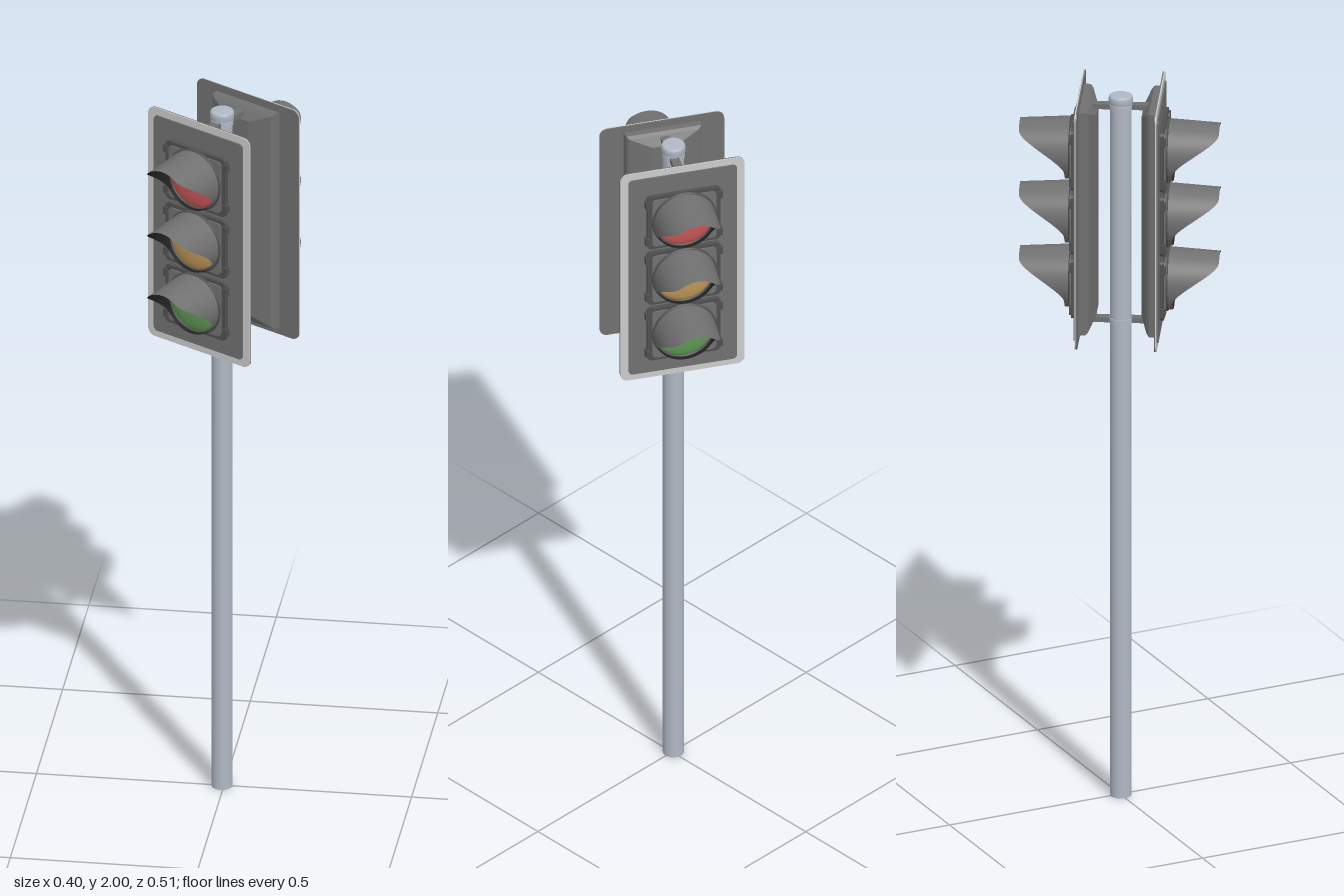
import * as THREE from 'three';
import { ParametricGeometry } from 'three/addons/geometries/ParametricGeometry.js';

const mat = (color, extra = {}) => new THREE.MeshStandardMaterial({ color, ...extra });
const poleMat = mat(0xb0b8c4);
const rimMat = mat(0xcccccc);
const bodyMat = mat(0x707070);
const housingMat = mat(0x707070, { flatShading: true });
const darkMat = mat(0x505050);
const hoodInnerMat = mat(0x222222, { side: THREE.BackSide });
const lampColors = [0xcc5a5a, 0xc49a5a, 0x629c58];

function add(parent, name, geometry, material, x = 0, y = 0, z = 0) {
  const mesh = new THREE.Mesh(geometry, material);
  mesh.name = name;
  mesh.position.set(x, y, z);
  parent.add(mesh);
  return mesh;
}

function roundedRect(w, h, r) {
  const s = new THREE.Shape();
  const x = w / 2, y = h / 2;
  s.absarc(x - r, y - r, r, 0, Math.PI / 2);
  s.absarc(-x + r, y - r, r, Math.PI / 2, Math.PI);
  s.absarc(-x + r, -y + r, r, Math.PI, Math.PI * 1.5);
  s.absarc(x - r, -y + r, r, Math.PI * 1.5, Math.PI * 2);
  s.closePath();
  return s;
}

// Rounded rectangular plate, from z = 0 to z = depth
const plate = (w, h, r, depth) =>
  new THREE.ExtrudeGeometry(roundedRect(w, h, r), { depth, bevelEnabled: false, curveSegments: 6 });

// Faceted solid through rectangles [halfWidth, halfHeight, z], back to front
function loftRects(sections) {
  const pos = [], index = [];
  for (const [w, h, z] of sections) pos.push(-w, -h, z, w, -h, z, w, h, z, -w, h, z);
  for (let s = 0; s < sections.length - 1; s++) {
    for (let i = 0; i < 4; i++) {
      const a = s * 4 + i, b = s * 4 + (i + 1) % 4;
      index.push(a, b, b + 4, a, b + 4, a + 4);
    }
  }
  index.push(0, 2, 1, 0, 3, 2);
  const g = new THREE.BufferGeometry();
  g.setAttribute('position', new THREE.Float32BufferAttribute(pos, 3));
  g.setIndex(index);
  g.computeVertexNormals();
  return g;
}

// Tapered tube, long over the top and swept back to a short lip below
function hoodGeometry(wall) {
  return new ParametricGeometry((u, v, target) => {
    const a = Math.PI - 2 * Math.PI * u;
    const reach = 0.018 + 0.122 * (1 - THREE.MathUtils.smoothstep(Math.abs(a), 0.6, 2.2));
    const z = reach * v;
    const r = 0.084 - 0.06 * z - wall * (1 - v);
    target.set(r * Math.sin(a), r * Math.cos(a), z);
  }, 64, 12);
}

// One lamp: square door, bezel, lens and hood
function createLamp(color) {
  const lamp = new THREE.Group();
  lamp.name = 'lamp';
  add(lamp, 'lampDoor', plate(0.2, 0.17, 0.012, 0.012), darkMat);
  add(lamp, 'lampDoorPanel', plate(0.175, 0.15, 0.012, 0.004), bodyMat, 0, 0, 0.012);
  add(lamp, 'bezel', new THREE.TorusGeometry(0.083, 0.005, 8, 48), darkMat, 0, 0, 0.016);

  const dome = new THREE.SphereGeometry(0.08, 40, 10, 0, Math.PI * 2, 0, Math.PI / 2);
  dome.rotateX(Math.PI / 2);
  dome.scale(1, 1, 0.2);
  add(lamp, 'lens', dome, mat(color), 0, 0, 0.014);

  add(lamp, 'hood', hoodGeometry(0), bodyMat, 0, 0, 0.014);
  add(lamp, 'hoodInside', hoodGeometry(0.003), hoodInnerMat, 0, 0, 0.014);

  // Latches and hinges at the door corners
  for (const x of [-1, 1]) for (const y of [-1, 1]) {
    add(lamp, 'latch', new THREE.BoxGeometry(0.014, 0.022, 0.016), darkMat, x * 0.098, y * 0.06, 0.008);
  }
  return lamp;
}

// Head facing +z, with the pole axis at the local origin
function createHead() {
  const head = new THREE.Group();
  head.name = 'signalHead';
  const midY = 1.6625;

  add(head, 'backplateRear', plate(0.34, 0.675, 0.022, 0.003), bodyMat, 0, midY, 0.102);
  add(head, 'backplateRim', plate(0.34, 0.675, 0.022, 0.003), rimMat, 0, midY, 0.105);
  add(head, 'backplateFace', plate(0.296, 0.635, 0.012, 0.004), bodyMat, 0, midY, 0.108);

  add(head, 'housing', loftRects([
    [0.036, 0.285, 0.06], [0.095, 0.31, 0.077], [0.102, 0.317, 0.084], [0.106, 0.317, 0.103],
  ]), housingMat, 0, midY, 0);

  lampColors.forEach((color, i) => {
    const lamp = createLamp(color);
    lamp.position.set(0, 1.84 - i * 0.1825, 0.111);
    head.add(lamp);
  });

  // Arms reaching from the pole to the housing
  for (const y of [1.355, 1.962]) {
    add(head, 'bracketArm', new THREE.BoxGeometry(0.024, 0.014, 0.085), bodyMat, 0, y, 0.0525);
  }
  return head;
}

export function createModel() {
  const model = new THREE.Group();
  model.name = 'trafficLight';

  // Pole with cap and bracket clamps
  const pole = new THREE.Group();
  pole.name = 'polePost';
  pole.position.x = -0.005;
  model.add(pole);
  add(pole, 'pole', new THREE.CylinderGeometry(0.028, 0.028, 1.975, 40), poleMat, 0, 0.9875, 0);
  const capProfile = [[0, 1.995], [0.026, 1.995], [0.03, 1.993], [0.032, 1.988], [0.032, 1.972], [0.028, 1.972]];
  add(pole, 'poleCap', new THREE.LatheGeometry(
    capProfile.reverse().map(([x, y]) => new THREE.Vector2(x, y)), 40), poleMat);
  for (const y of [1.355, 1.962]) {
    add(pole, 'clamp', new THREE.CylinderGeometry(0.0305, 0.0305, 0.014, 40), poleMat, 0, y, 0);
  }

  // Two heads back to back, turned 30 degrees
  for (let i = 0; i < 2; i++) {
    const head = createHead();
    head.name = i ? 'rearHead' : 'frontHead';
    head.rotation.y = -Math.PI / 6 + i * Math.PI;
    model.add(head);
  }
  return model;
}
